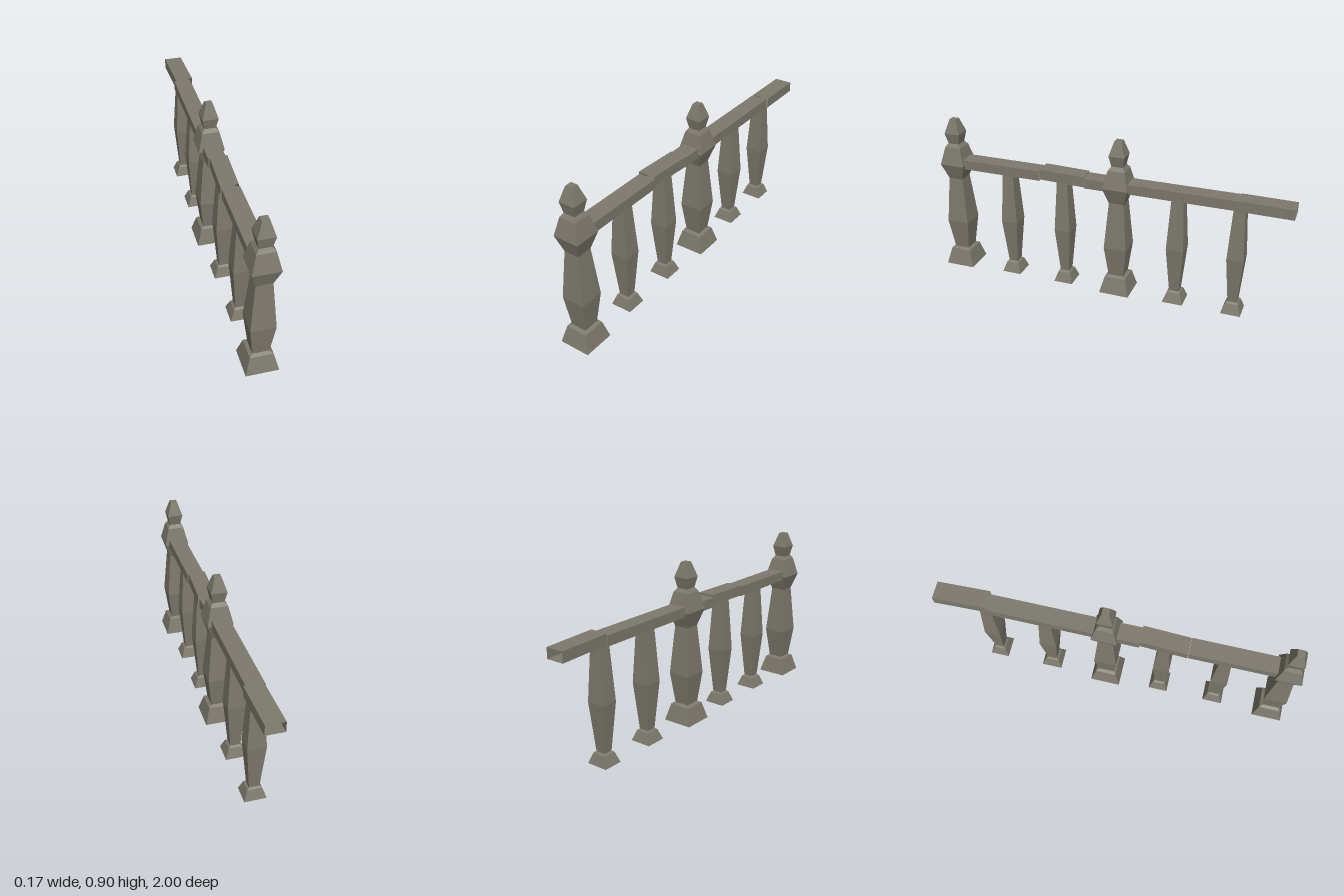
import * as THREE from 'three';

const stone = new THREE.MeshStandardMaterial({ color: 0x7d796d, flatShading: true, side: THREE.DoubleSide });
stone.name = 'weathered stone';

// Square-section turned piece from [half width, height] pairs, open underneath
function squareTurned(profile) {
  const points = profile.map(([w, y]) => new THREE.Vector2(w * Math.SQRT2, y));
  return new THREE.LatheGeometry(points, 4, Math.PI / 4);
}

const postProfile = [
  [0.085, 0], [0.06, 0.095], [0.043, 0.105], [0.064, 0.28], [0.042, 0.55],
  [0.071, 0.64], [0.047, 0.74], [0.032, 0.76], [0.044, 0.82], [0.019, 0.9], [0, 0.9],
];
const balusterProfile = [
  [0.056, 0], [0.036, 0.058], [0.026, 0.066], [0.047, 0.33], [0.031, 0.628], [0, 0.628],
];

// Hollow rail between two ends, each given as [centre x, bottom y, z]
function railGeometry(front, back, width, height) {
  const geo = new THREE.BoxGeometry(width, height, 1);
  geo.setIndex(Array.from(geo.index.array).slice(0, 24)); // leave the ends open
  geo.clearGroups();
  const p = geo.attributes.position;
  for (let i = 0; i < p.count; i++) {
    const [x, y, z] = p.getZ(i) > 0 ? front : back;
    p.setXYZ(i, p.getX(i) + x, p.getY(i) + height / 2 + y, z);
  }
  geo.computeVertexNormals();
  return geo;
}

export function createModel() {
  const group = new THREE.Group();
  group.name = 'balustrade';
  const add = (name, geo, z = 0) => {
    const mesh = new THREE.Mesh(geo, stone);
    mesh.name = name;
    mesh.position.z = z;
    group.add(mesh);
    return mesh;
  };

  // Two large posts with finials
  const postGeo = squareTurned(postProfile);
  [0.915, -0.06].forEach((z, i) => add('post' + (i + 1), postGeo, z));

  // Four slender balusters, each slightly different in depth
  const balusterGeo = squareTurned(balusterProfile);
  [[0.585, 1], [0.257, 0.97], [-0.394, 1.03], [-0.72, 0.96]].forEach(([z, depth], i) => {
    add('baluster' + (i + 1), balusterGeo, z).scale.set(1.06, 1, depth);
  });

  // Handrail in uneven, slightly shifted lengths
  [
    [[0, 0.62, 0.855], [0, 0.62, 0.385], 0.095, 0.055],
    [[-0.005, 0.627, 0.383], [0.006, 0.625, 0.125], 0.095, 0.058],
    [[0, 0.616, 0.125], [0, 0.616, -0.005], 0.095, 0.055],
    [[0, 0.62, -0.12], [0, 0.62, -0.715], 0.095, 0.055],
    [[0.011, 0.626, -0.71], [0.004, 0.62, -1], 0.1, 0.057],
  ].forEach((spec, i) => add('handrail' + (i + 1), railGeometry(...spec)));

  return group;
}
